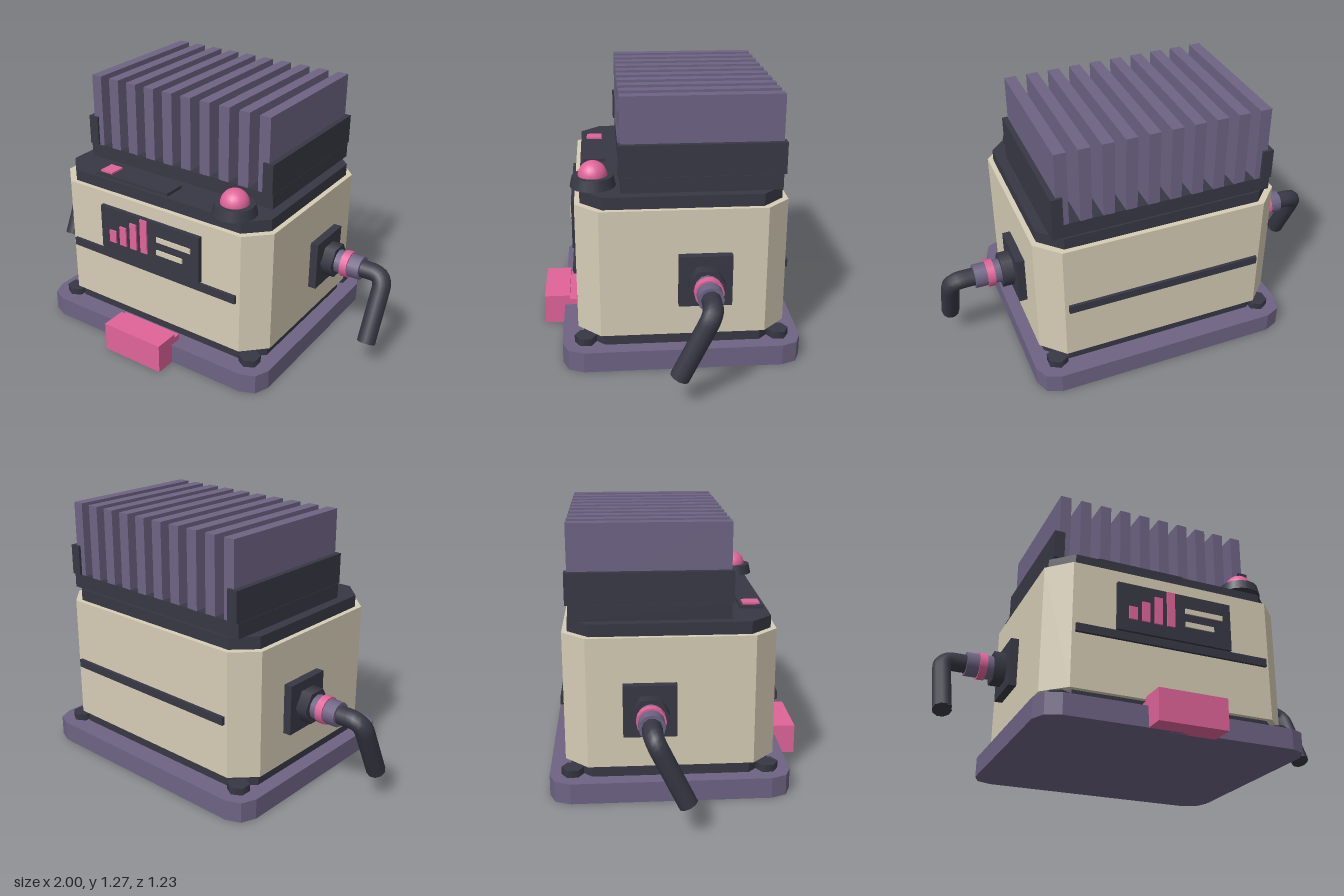
import * as THREE from 'three';

export function createModel() {
  const model = new THREE.Group();
  model.name = 'powerUnit';

  const mat = (name, color, flatShading = false) => {
    const m = new THREE.MeshStandardMaterial({ color });
    m.name = name;
    m.flatShading = flatShading;
    return m;
  };
  const beige = mat('beige shell', 0xd6cdb6);
  const dark = mat('dark trim', 0x383845);
  const purple = mat('purple metal', 0x6e6484);
  const pink = mat('pink accent', 0xe0649a);

  const add = (name, geometry, material, x = 0, y = 0, z = 0) => {
    const mesh = new THREE.Mesh(geometry, material);
    mesh.name = name;
    mesh.position.set(x, y, z);
    model.add(mesh);
    return mesh;
  };
  // Box given by its limits on each axis
  const box = (name, material, x0, x1, y0, y1, z0, z1) =>
    add(name, new THREE.BoxGeometry(x1 - x0, y1 - y0, z1 - z0), material,
      (x0 + x1) / 2, (y0 + y1) / 2, (z0 + z1) / 2);

  // Slab with cut corners; two steps per corner make a coarse round
  const CZ = -0.05;
  const slab = (name, material, hx, hz, cut, y0, y1, steps) => {
    const points = [];
    for (let q = 0; q < 4; q++) {
      const cx = (q === 0 || q === 3 ? 1 : -1) * (hx - cut);
      const cy = (q < 2 ? 1 : -1) * (hz - cut);
      for (let i = 0; i <= steps; i++) {
        const a = (q + i / steps) * Math.PI / 2;
        points.push(new THREE.Vector2(cx + cut * Math.cos(a), cy + cut * Math.sin(a)));
      }
    }
    const g = new THREE.ExtrudeGeometry(new THREE.Shape(points), { depth: y1 - y0, bevelEnabled: false });
    g.rotateX(-Math.PI / 2);
    return add(name, g, material, 0, y0, CZ);
  };

  // Stacked housing
  slab('basePlate', purple, 0.66, 0.565, 0.1, 0, 0.1, 2);
  slab('lowerCollar', dark, 0.588, 0.465, 0.1, 0.1, 0.16, 1);
  slab('bodyShell', beige, 0.613, 0.49, 0.107, 0.16, 0.777, 1);
  slab('topDeck', dark, 0.588, 0.465, 0.1, 0.777, 0.835, 1);

  // Base bolts
  for (const x of [-0.547, 0.547])
    for (const z of [-0.507, 0.405])
      add('baseBolt', new THREE.CylinderGeometry(0.053, 0.053, 0.035, 6), dark, x, 0.1175, z);

  // Heat sink: plinth, fins and side rails
  box('heatSinkPlinth', dark, -0.54, 0.54, 0.835, 0.907, -0.507, 0.23);
  for (let i = 0; i < 10; i++) {
    const x = (i - 4.5) * 0.108;
    box('coolingFin', purple, x - 0.028, x + 0.028, 0.905, 1.272, -0.507, 0.23);
  }
  for (const s of [-1, 1])
    add('heatSinkRail', new THREE.BoxGeometry(0.053, 0.148, 0.76), dark, s * 0.5135, 0.982, -0.14);

  // Front and back trim strips
  box('frontStrip', dark, -0.49, 0.487, 0.425, 0.465, 0.43, 0.455);
  box('backStrip', dark, -0.49, 0.487, 0.425, 0.465, -0.555, -0.53);

  // Display with bar chart and two text-like dashes
  box('displayPanel', dark, -0.295, 0.292, 0.47, 0.712, 0.43, 0.461);
  [0.594, 0.63, 0.668, 0.708].forEach((top, i) => {
    const x = -0.24 + i * 0.064;
    box('chartBar', pink, x, x + 0.04, 0.53, top, 0.461, 0.469);
  });
  box('displayDash', beige, 0.048, 0.246, 0.615, 0.641, 0.461, 0.467);
  box('displayDash', beige, 0.048, 0.198, 0.546, 0.572, 0.461, 0.467);

  // Front latch, stepped
  box('latchBlock', pink, -0.17, 0.167, 0, 0.15, 0.49, 0.617);
  box('latchTongue', pink, -0.17, 0.167, 0.002, 0.13, 0.455, 0.49);

  // Top control plate with button
  box('controlPlate', dark, -0.37, 0.07, 0.835, 0.85, 0.29, 0.4);
  box('controlButton', pink, -0.35, -0.278, 0.85, 0.859, 0.305, 0.385);

  // Signal lamp
  add('lampBase', new THREE.CylinderGeometry(0.095, 0.106, 0.05, 16), dark, 0.415, 0.86, 0.353);
  add('lampDome', new THREE.SphereGeometry(0.068, 20, 8, 0, Math.PI * 2, 0, Math.PI / 2), pink, 0.415, 0.885, 0.353);

  // Side connectors and bent cables
  const PY = 0.443, PZ = -0.147;
  for (const s of [-1, 1]) {
    const ring = (name, material, r, x0, x1, sides) => {
      const g = new THREE.CylinderGeometry(r, r, x1 - x0, sides);
      g.rotateZ(-s * Math.PI / 2);
      add(name, g, material, s * (x0 + x1) / 2, PY, PZ);
    };
    add('portPlate', new THREE.BoxGeometry(0.05, 0.245, 0.245), dark, s * 0.628, PY, PZ);
    ring('portNut', dark, 0.086, 0.65, 0.71, 6);
    ring('plugSleeve', purple, 0.059, 0.71, 0.84, 12);
    ring('plugBand', pink, 0.067, 0.743, 0.78, 14);

    const v = (x, y, z) => new THREE.Vector3(s * x, y, z);
    const corner = v(0.955, PY, PZ);
    const end = v(0.955, 0.139, 0);
    const bendEnd = corner.clone().lerp(end, 0.2);
    const bendStart = v(0.89, PY, PZ);
    const path = new THREE.CurvePath();
    path.add(new THREE.LineCurve3(v(0.82, PY, PZ), bendStart));
    path.add(new THREE.QuadraticBezierCurve3(bendStart, corner, bendEnd));
    path.add(new THREE.LineCurve3(bendEnd, end));
    add('cable', new THREE.TubeGeometry(path, 28, 0.045, 10), dark);
    const cap = add('cableEnd', new THREE.CircleGeometry(0.045, 10), dark, end.x, end.y, end.z);
    cap.quaternion.setFromUnitVectors(new THREE.Vector3(0, 0, 1), end.clone().sub(corner).normalize());
  }

  return model;
}
